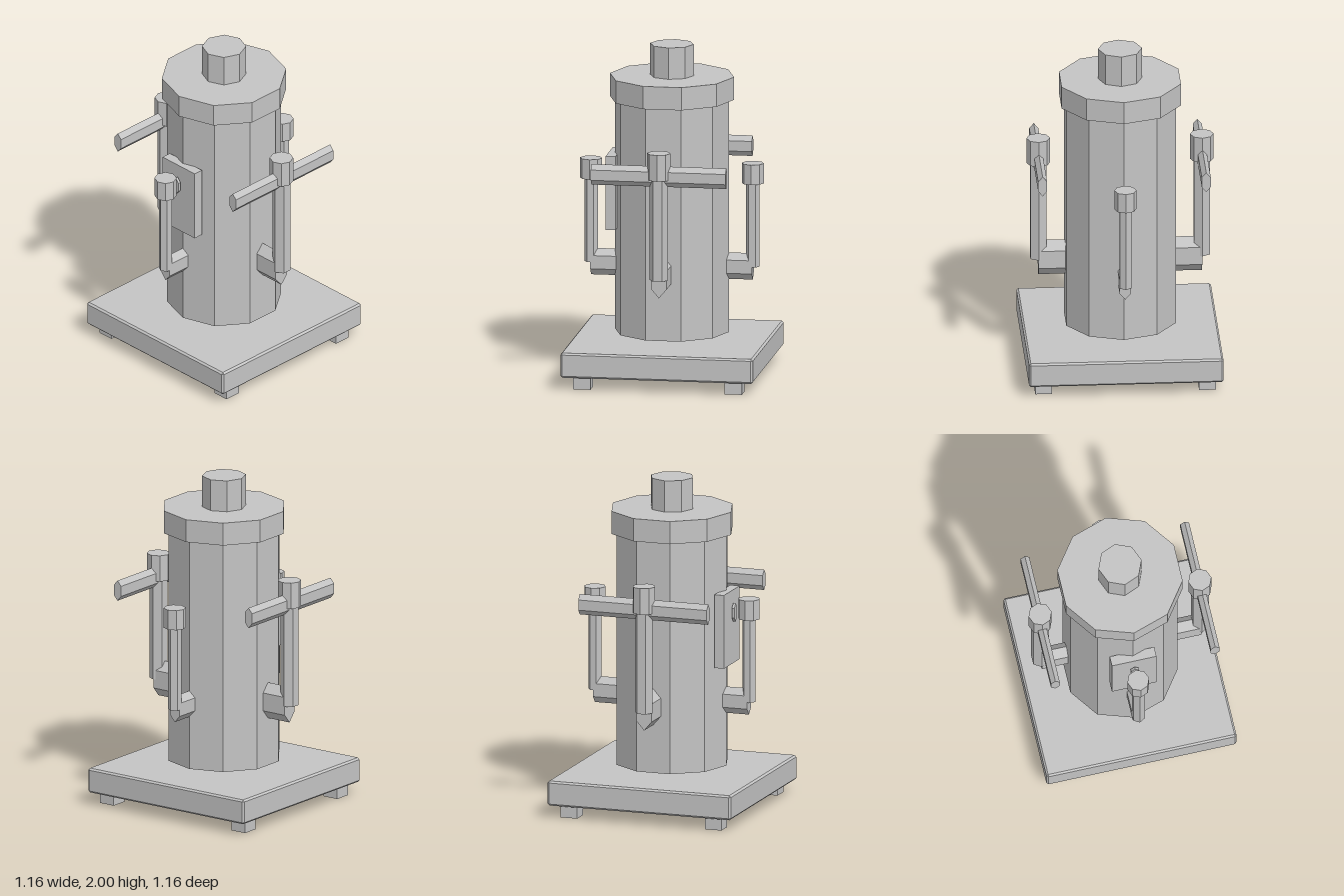
import * as THREE from 'three';
import { ConvexGeometry } from 'three/addons/geometries/ConvexGeometry.js';

export function createModel() {
  const model = new THREE.Group();
  const grey = new THREE.MeshStandardMaterial({ color: 0xc4c4c4, flatShading: true });
  grey.name = 'plainGrey';

  function add(parent, name, geometry, x = 0, y = 0, z = 0) {
    const mesh = new THREE.Mesh(geometry, grey);
    mesh.name = name;
    mesh.position.set(x, y, z);
    parent.add(mesh);
    return mesh;
  }

  // upright prism between two heights
  function column(parent, name, radius, sides, y0, y1, x = 0, z = 0) {
    return add(parent, name, new THREE.CylinderGeometry(radius, radius, y1 - y0, sides), x, (y0 + y1) / 2, z);
  }

  // hexagonal bar along z, stretched to twice its height
  function tallHexBar(radius, length) {
    return new THREE.CylinderGeometry(radius, radius, length, 6).rotateX(Math.PI / 2).scale(1, 2, 1);
  }

  // box with every edge chamfered
  function chamferBox(w, h, d, c) {
    const points = [];
    for (const sx of [-1, 1]) for (const sy of [-1, 1]) for (const sz of [-1, 1]) {
      const x = w / 2, y = h / 2, z = d / 2;
      points.push(
        new THREE.Vector3(sx * x, sy * (y - c), sz * (z - c)),
        new THREE.Vector3(sx * (x - c), sy * y, sz * (z - c)),
        new THREE.Vector3(sx * (x - c), sy * (y - c), sz * z));
    }
    return new ConvexGeometry(points);
  }

  // base slab on four feet
  add(model, 'baseSlab', chamferBox(1.156, 0.15, 1.156, 0.011), 0, 0.149, 0);
  for (const x of [-0.487, 0.487]) for (const z of [-0.455, 0.455]) {
    add(model, 'foot', new THREE.BoxGeometry(0.1, 0.076, 0.104), x, 0.038, z);
  }

  // ten-sided body, collar and top knob
  column(model, 'body', 0.343, 10, 0.265, 1.675);
  column(model, 'collar', 0.373, 10, 1.672, 1.81);
  column(model, 'topKnob', 0.131, 8, 1.81, 2);

  // bent arms: stub out of the body, upright pipe and capped end
  function arm(name, angle, pipeRadius, capRadius, capBottom, capTop) {
    const group = new THREE.Group();
    group.name = name;
    group.rotation.y = angle;
    add(group, 'stub', tallHexBar(pipeRadius, 0.187), 0, 0.667, 0.3925);
    column(group, 'pipe', pipeRadius, 6, 0.667, capBottom + 0.02, 0, 0.486).rotation.y = -angle;
    column(group, 'cap', capRadius, 8, capBottom, capTop, 0, 0.486);
    model.add(group);
  }
  arm('frontArm', 0, 0.04, 0.066, 1.172, 1.293);
  arm('backArm', Math.PI, 0.04, 0.066, 1.172, 1.293);
  arm('leftArm', Math.PI / 2, 0.055, 0.07, 1.277, 1.436);
  arm('rightArm', -Math.PI / 2, 0.055, 0.07, 1.277, 1.436);

  // long bars across the side arms
  for (const x of [-0.486, 0.486]) {
    add(model, 'crossBar', tallHexBar(0.031, 0.81), x, 1.295, 0);
  }

  // front panel with its small latch
  add(model, 'frontPanel', new THREE.BoxGeometry(0.271, 0.446, 0.06), 0, 1.11, 0.347);
  add(model, 'latch', tallHexBar(0.028, 0.016), 0, 1.202, 0.394);

  return model;
}
